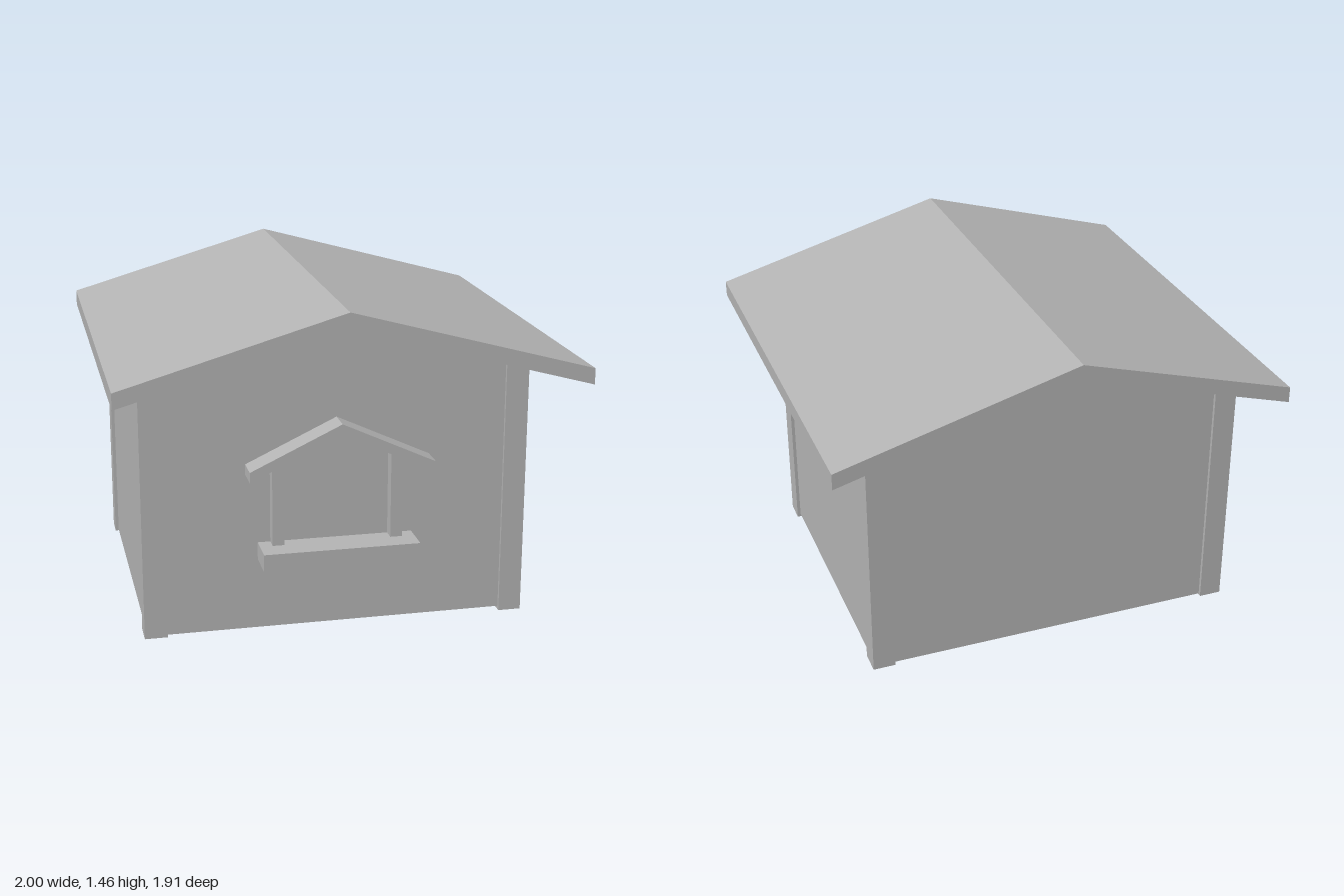
import * as THREE from 'three';

export function createModel() {
  const model = new THREE.Group();
  const grey = new THREE.MeshStandardMaterial({ color: 0xb3b3b3 });
  grey.name = 'grey';

  // Extrudes an x-y profile from z0 to z1
  function prism(name, points, z0, z1) {
    const shape = new THREE.Shape(points.map(([x, y]) => new THREE.Vector2(x, y)));
    const geometry = new THREE.ExtrudeGeometry(shape, { depth: z1 - z0, bevelEnabled: false });
    geometry.translate(0, 0, z0);
    const mesh = new THREE.Mesh(geometry, grey);
    mesh.name = name;
    model.add(mesh);
  }

  // Underside of a pitched roof given as [left, peak, right]
  function underside([left, peak, right], x) {
    const end = x < peak[0] ? left : right;
    return peak[1] + (end[1] - peak[1]) * (x - peak[0]) / (end[0] - peak[0]);
  }

  // Pitched slab with vertical eaves
  function pitchedRoof(name, line, thickness, z0, z1) {
    const top = line.map(([x, y]) => [x, y + thickness]).reverse();
    prism(name, [...line, ...top], z0, z1);
  }

  // Upright whose top is cut to meet the roof underside
  function upright(name, line, x0, x1, bottom, z0, z1) {
    prism(name, [[x0, bottom], [x1, bottom], [x1, underside(line, x1)], [x0, underside(line, x0)]], z0, z1);
  }

  // Main roof
  const roof = [[-1, 1.11], [-0.045, 1.387], [1, 1.1]];
  pitchedRoof('roof', roof, 0.07, -0.957, 0.957);

  // Gable walls
  const base = 0.015;
  const gable = [[-0.86, base], [0.79, base], [0.79, underside(roof, 0.79)],
    roof[1], [-0.86, underside(roof, -0.86)]];
  prism('frontWall', gable, 0.61, 0.685);
  prism('backWall', gable, -0.715, -0.64);

  // Side walls
  upright('rightWall', roof, -0.86, -0.785, base, -0.64, 0.61);
  upright('leftWall', roof, 0.715, 0.79, base, -0.64, 0.61);

  // Corner posts
  for (const [side, x] of [['Right', -0.875], ['Left', 0.705]]) {
    upright('front' + side + 'Post', roof, x, x + 0.1, side === 'Left' ? 0 : 0.01, 0.597, 0.7);
    upright('back' + side + 'Post', roof, x, x + 0.1, 0.01, -0.73, -0.627);
  }

  // Small shelter on the front wall
  const canopy = [[-0.43, 0.715], [-0.037, 0.9], [0.37, 0.71]];
  pitchedRoof('shelterRoof', canopy, 0.046, 0.68, 0.8);
  upright('shelterRightPost', canopy, -0.325, -0.273, 0.405, 0.68, 0.74);
  upright('shelterLeftPost', canopy, 0.19, 0.242, 0.405, 0.68, 0.74);
  prism('shelterTray', [[-0.38, 0.33], [0.297, 0.33], [0.297, 0.407], [-0.38, 0.407]], 0.68, 0.838);

  return model;
}
